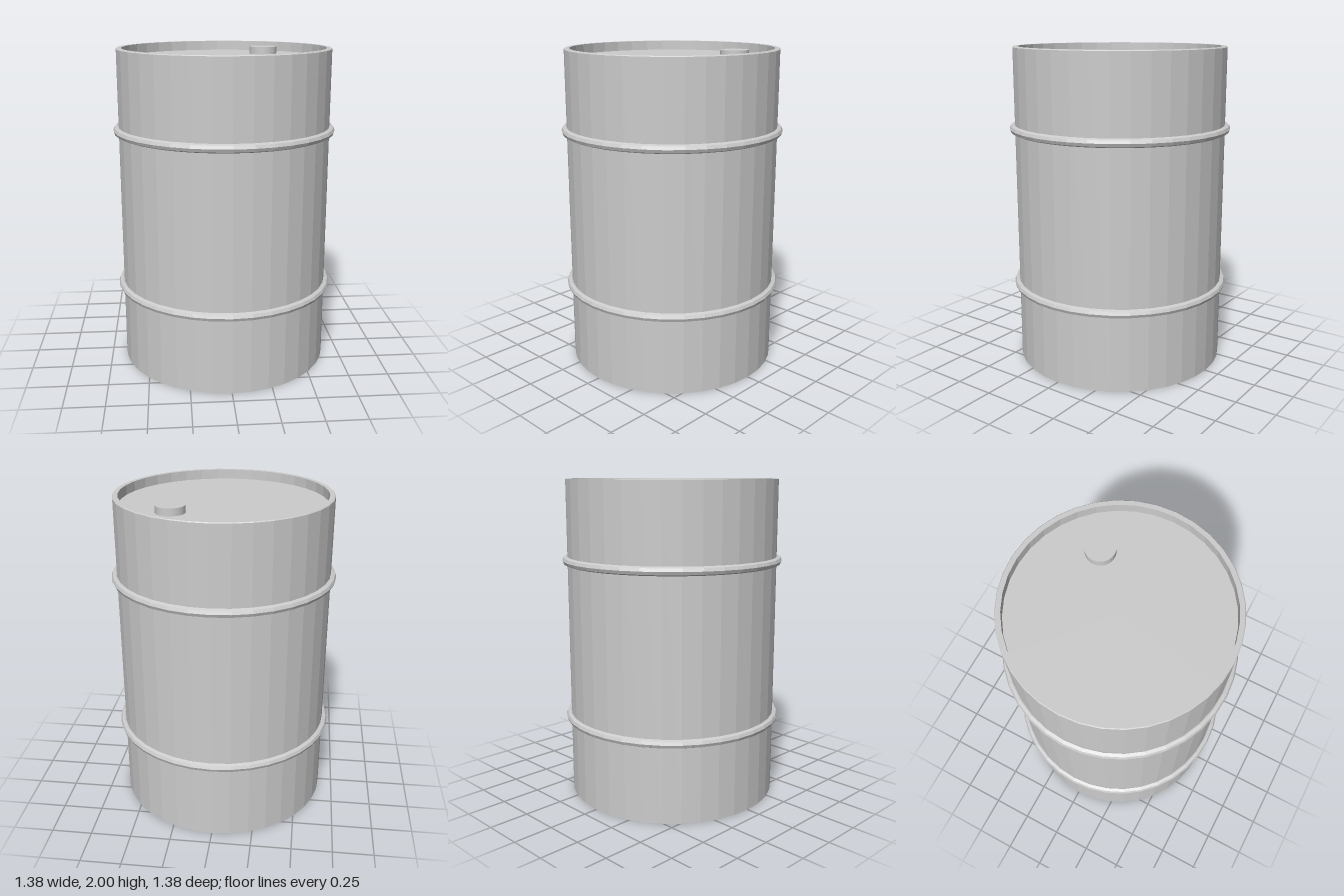
import * as THREE from 'three';

const SIDES = 36;

export function createModel() {
  const group = new THREE.Group();
  const material = new THREE.MeshStandardMaterial({ color: 0xcccccc, flatShading: true });

  const add = (name, geometry, x = 0, y = 0, z = 0) => {
    const mesh = new THREE.Mesh(geometry, material);
    mesh.name = name;
    mesh.position.set(x, y, z);
    group.add(mesh);
    return mesh;
  };

  // Closed shell: recessed base, outer wall, top rim, recessed lid
  const profile = [
    [0, 0.08], [0.6, 0.08], [0.6, 0], [0.66, 0],
    [0.66, 1.995], [0.655, 2], [0.627, 2], [0.627, 1.94], [0, 1.94],
  ].map(([r, y]) => new THREE.Vector2(r, y));
  add('barrelBody', new THREE.LatheGeometry(profile, SIDES));

  // Rolled hoops around the wall
  for (const [name, y] of [['lowerHoop', 0.5], ['upperHoop', 1.5]]) {
    add(name, new THREE.TorusGeometry(0.666, 0.0265, 8, SIDES).rotateX(Math.PI / 2), 0, y, 0);
  }

  // Filler cap on the lid
  add('fillerCap', new THREE.CylinderGeometry(0.088, 0.088, 0.05, SIDES), 0.275, 1.96, -0.268);

  return group;
}
